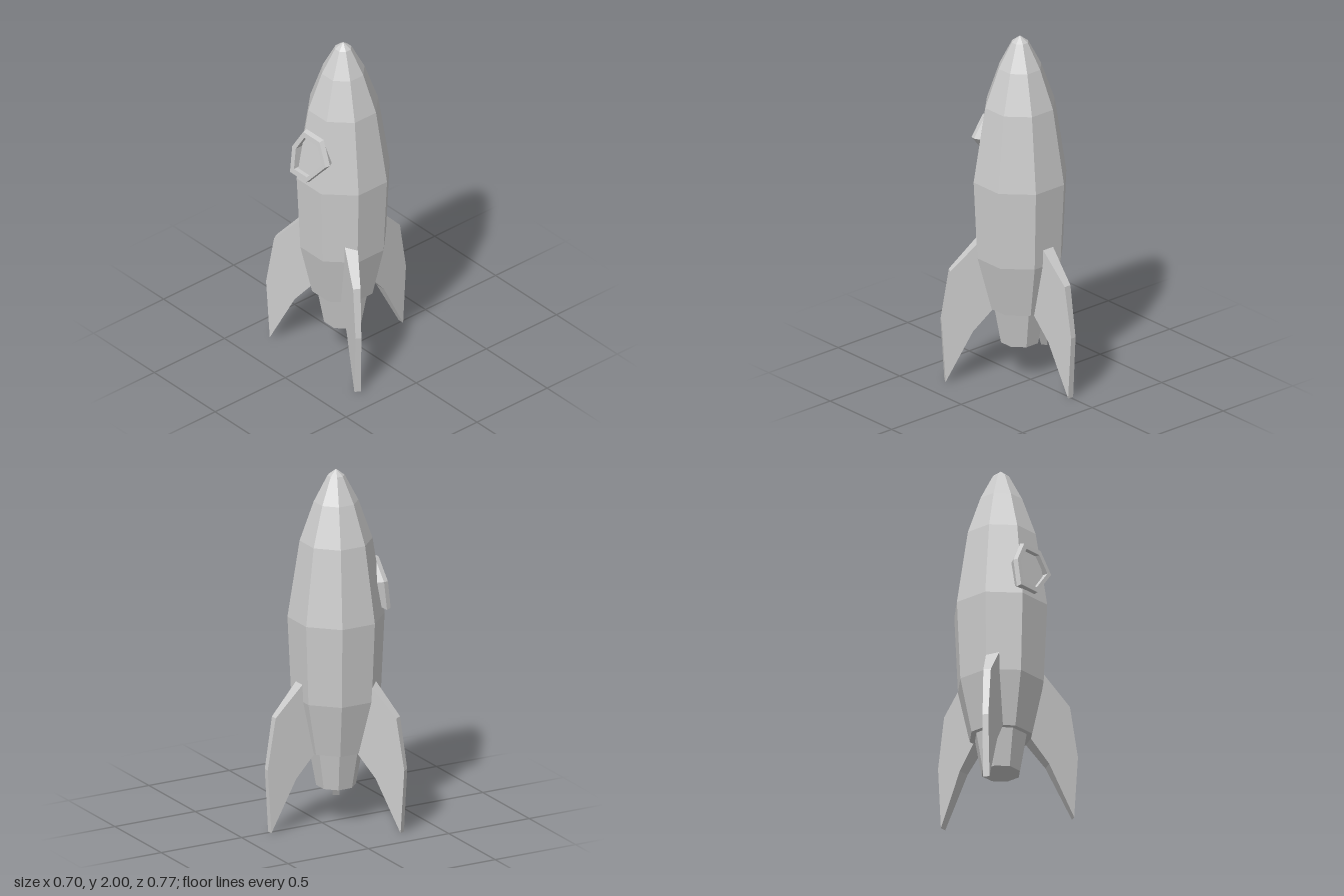
import * as THREE from 'three';

const AXIS_X = -0.087; // the hull axis sits slightly off centre
const FLAT = 1 / Math.cos(Math.PI / 8); // apothem to circumradius of an octagon

const material = new THREE.MeshStandardMaterial({ color: 0xcccccc, flatShading: true });

function addMesh(parent, name, geometry) {
  const mesh = new THREE.Mesh(geometry, material);
  mesh.name = name;
  parent.add(mesh);
  return mesh;
}

// Eight-sided turned part; the profile lists [apothem, y] from bottom to top
function octagonal(profile) {
  const points = profile.map(([r, y]) => new THREE.Vector2(r * FLAT, y));
  return new THREE.LatheGeometry(points, 8, Math.PI / 8);
}

// Fin outline in the radius/height plane, thinning towards the outer edge
function finGeometry() {
  const outline = [
    [0.15, 0.82], [0.12, 0.45], [0.155, 0.42], [0.265, 0.29],
    [0.412, 0], [0.434, 0.36], [0.387, 0.65], [0.228, 0.82],
  ].map(([r, y]) => new THREE.Vector2(r, y));
  const geometry = new THREE.ExtrudeGeometry(new THREE.Shape(outline), { depth: 2, bevelEnabled: false });
  const pos = geometry.attributes.position;
  for (let i = 0; i < pos.count; i++) {
    const halfThickness = 0.034 - 0.095 * (pos.getX(i) - 0.244);
    pos.setZ(i, (pos.getZ(i) - 1) * halfThickness);
  }
  geometry.computeVertexNormals();
  return geometry;
}

// Six-sided porthole frame: a five-point section swept round a hexagon
function portholeGeometry() {
  const centre = { z: -0.005, y: 1.345 };
  const hexagon = [[0.14, 1.36], [0.07, 1.487], [-0.07, 1.487], [-0.145, 1.36], [-0.14, 1.197], [0, 1.197]];
  const section = [[0.75, 0], [0.96, 0], [1, 0.027], [0.85, 0.06], [0.75, 0.05]]; // [scale, depth]
  const positions = [];
  const index = [];
  const n = section.length;
  hexagon.forEach(([z, y], i) => {
    section.forEach(([scale, depth], j) => {
      const py = centre.y + (y - centre.y) * scale;
      const pz = centre.z + (z - centre.z) * scale;
      positions.push(-0.35 + 0.13 * (py - 1.2) + depth, py, pz);
      const next = (i + 1) % hexagon.length;
      const k = (j + 1) % n;
      const a = i * n + j, b = i * n + k, c = next * n + k, d = next * n + j;
      index.push(a, b, c, a, c, d);
    });
  });
  const geometry = new THREE.BufferGeometry();
  geometry.setAttribute('position', new THREE.Float32BufferAttribute(positions, 3));
  geometry.setIndex(index);
  geometry.computeVertexNormals();
  return geometry;
}

export function createModel() {
  const model = new THREE.Group();
  model.name = 'rocket';

  const rocket = new THREE.Group();
  rocket.name = 'hullAndFins';
  rocket.position.x = AXIS_X;
  model.add(rocket);

  // Hull with a pointed nose and a closed underside
  addMesh(rocket, 'hull', octagonal([
    [0, 0.418], [0.163, 0.418], [0.225, 0.72], [0.244, 1.17],
    [0.183, 1.6], [0.112, 1.82], [0.043, 1.965], [0, 2],
  ]));

  // Exhaust nozzle
  addMesh(rocket, 'nozzle', octagonal([[0, 0.205], [0.1, 0.205], [0.136, 0.42]]));

  // Three fins
  const fin = finGeometry();
  for (let i = 0; i < 3; i++) {
    addMesh(rocket, `fin${i + 1}`, fin).rotation.y = (i * Math.PI * 2) / 3;
  }

  // Porthole on the right side
  addMesh(model, 'portholeFrame', portholeGeometry());

  return model;
}
